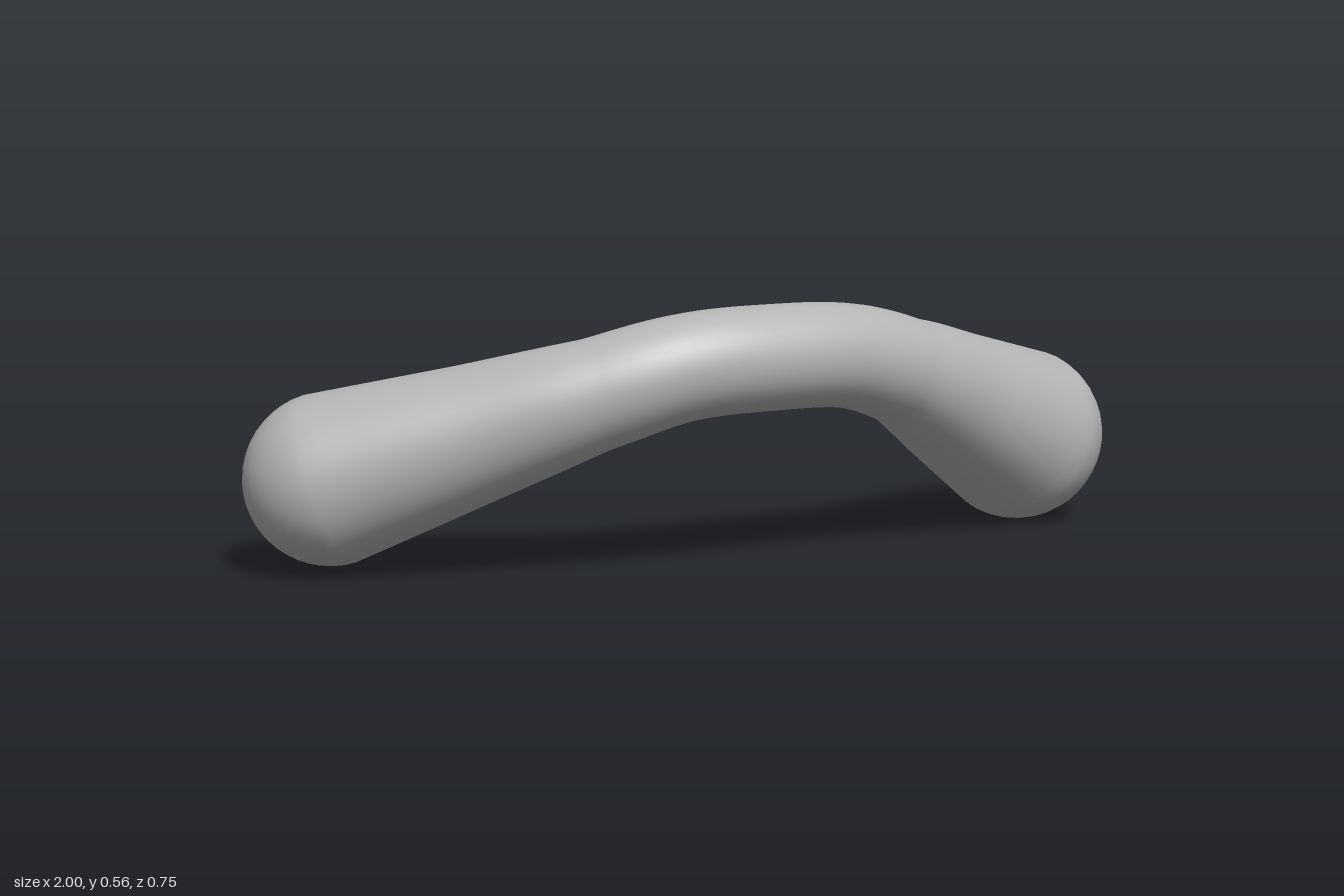
import * as THREE from 'three';

// Centreline stations: x, y, z, radius
const STATIONS = [
  [-0.815, 0.2, -0.19, 0.185],
  [-0.58, 0.297, -0.006, 0.149],
  [-0.37, 0.385, 0.155, 0.119],
  [-0.2, 0.437, 0.229, 0.113],
  [0, 0.448, 0.258, 0.113],
  [0.2, 0.438, 0.258, 0.113],
  [0.36, 0.392, 0.24, 0.12],
  [0.58, 0.296, 0.17, 0.16],
  [0.8, 0.2, 0.1, 0.2],
];
const SIDES = 40, STEPS = 64, CAP = 12;

function createBarGeometry() {
  const curve = new THREE.CatmullRomCurve3(STATIONS.map(([x, y, z]) => new THREE.Vector3(x, y, z)));
  const last = STATIONS.length - 1;
  const radiusAt = (t) => {
    const i = Math.min(Math.floor(t * last), last - 1);
    return THREE.MathUtils.lerp(STATIONS[i][3], STATIONS[i + 1][3], t * last - i);
  };

  // Each ring has a place on the curve, a shift along it and a radius
  const rings = [];
  for (let i = 0; i < CAP; i++) {
    const a = (i / CAP) * Math.PI / 2, r = radiusAt(0);
    rings.push([0, -r * Math.cos(a), r * Math.sin(a)]);
  }
  for (let i = 0; i <= STEPS; i++) rings.push([i / STEPS, 0, radiusAt(i / STEPS)]);
  for (let i = 1; i <= CAP; i++) {
    const a = (i / CAP) * Math.PI / 2, r = radiusAt(1);
    rings.push([1, r * Math.sin(a), r * Math.cos(a)]);
  }

  const positions = [], indices = [];
  const up = new THREE.Vector3(0, 1, 0);
  rings.forEach(([t, shift, radius], i) => {
    const tangent = curve.getTangent(t);
    const centre = curve.getPoint(t).addScaledVector(tangent, shift);
    const side = new THREE.Vector3().crossVectors(tangent, up).normalize();
    const normal = new THREE.Vector3().crossVectors(side, tangent);
    for (let j = 0; j < SIDES; j++) {
      const a = (j / SIDES) * Math.PI * 2;
      const p = centre.clone()
        .addScaledVector(normal, radius * Math.cos(a))
        .addScaledVector(side, radius * Math.sin(a));
      positions.push(p.x, p.y, p.z);
      if (i < rings.length - 1) {
        const k = (j + 1) % SIDES, row = i * SIDES, next = row + SIDES;
        indices.push(row + j, row + k, next + j, row + k, next + k, next + j);
      }
    }
  });

  const geometry = new THREE.BufferGeometry();
  geometry.setAttribute('position', new THREE.Float32BufferAttribute(positions, 3));
  geometry.setIndex(indices);
  geometry.computeVertexNormals();
  return geometry;
}

export function createModel() {
  const group = new THREE.Group();
  group.name = 'curvedBar';
  const grey = new THREE.MeshStandardMaterial({ color: 0xb4b4b4 });
  grey.name = 'light grey';

  // Bent bar, thin in the middle and swelling to rounded ends
  const bar = new THREE.Mesh(createBarGeometry(), grey);
  bar.name = 'bar';
  group.add(bar);
  return group;
}
